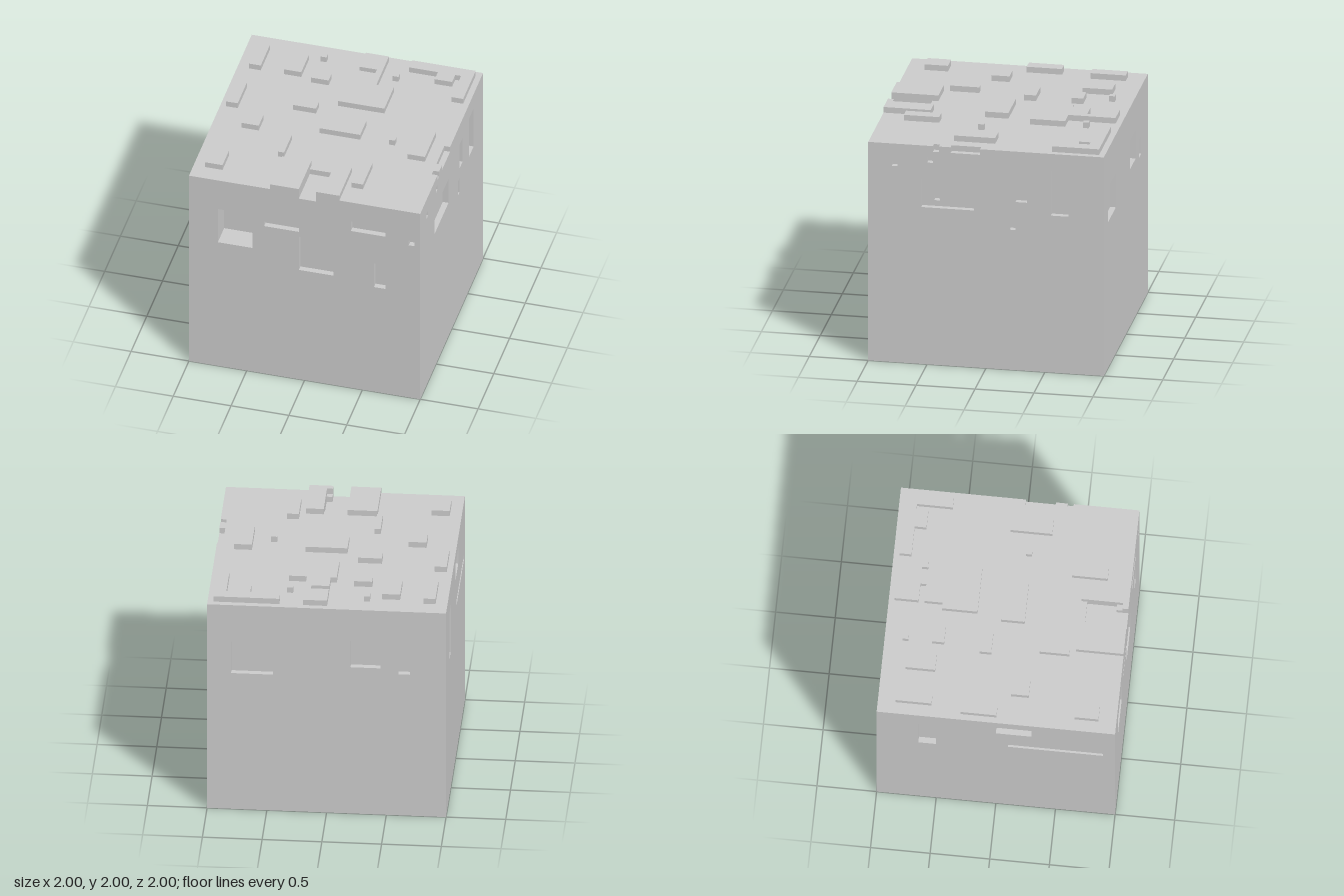
import * as THREE from 'three';

const material = new THREE.MeshStandardMaterial({ color: 0xcccccc, flatShading: true });
const STEP = 0.05;

function mesh(geometry, name) {
  const m = new THREE.Mesh(geometry, material);
  m.name = name;
  return m;
}

function outline(points) {
  return new THREE.Shape(points.map(([x, y]) => new THREE.Vector2(x, y)));
}

const corners = ([u0, v0, u1, v1]) => [[u0, v0], [u1, v0], [u1, v1], [u0, v1]];

// Horizontal slab from a plan outline of [x, z] points
function slab(points, y, name) {
  const g = new THREE.ExtrudeGeometry(outline(points.map(([x, z]) => [x, -z])), { depth: STEP, bevelEnabled: false });
  g.rotateX(-Math.PI / 2).translate(0, y, 0);
  return mesh(g, name);
}

// The four inward-facing sides of a recess behind plane z
function recessSides([u0, v0, u1, v1], z, depth) {
  const g = new THREE.BoxGeometry(u1 - u0, v1 - v0, depth);
  g.setIndex(Array.from(g.index.array).slice(0, 24).reverse());
  g.computeVertexNormals();
  return g.translate((u0 + u1) / 2, (v0 + v1) / 2, z - depth / 2);
}

// Flat panel with recesses; a recess floor is itself such a panel
function addPanel(group, rect, z, recesses, name) {
  const shape = outline(corners(rect));
  for (const { rect: r, depth = STEP, inner = [] } of recesses) {
    shape.holes.push(outline(corners(r)));
    group.add(mesh(recessSides(r, z, depth), 'recessSides'));
    addPanel(group, r, z - depth, inner, 'recessFloor');
  }
  group.add(mesh(new THREE.ShapeGeometry(shape).translate(0, 0, z), name));
}

export function createModel() {
  const model = new THREE.Group();
  model.name = 'block';

  // Recesses per side as [u0, v0, u1, v1], u running to the right as seen facing that side
  const sides = {
    frontSide: [0, [
      { rect: [-0.75, 1.3, -0.45, 1.65], depth: 0.2 },
      { rect: [-0.35, 1.55, -0.05, 1.6] },
      { rect: [-0.05, 1.15, 0.25, 1.5] },
      { rect: [0.4, 1.65, 0.7, 1.75] },
      { rect: [0.6, 1.1, 0.7, 1.35] },
      { rect: [0.9, 1.6, 0.95, 1.65] },
    ]],
    leftSide: [Math.PI / 2, [
      { rect: [-0.8, 1.75, -0.75, 1.8] },
      { rect: [-0.5, 1.8, -0.45, 1.85] },
      { rect: [-0.55, 1.4, -0.1, 1.65], inner: [{ rect: [-0.45, 1.45, -0.4, 1.5] }] },
      { rect: [0.25, 1.5, 0.35, 1.75] },
      { rect: [0.2, 1.25, 0.25, 1.4] },
      { rect: [0.55, 1.4, 0.7, 1.8] },
    ]],
    backSide: [Math.PI, [
      { rect: [-0.8, 1.3, -0.45, 1.6] },
      { rect: [0.2, 1.4, 0.45, 1.65] },
      { rect: [0.6, 1.35, 0.7, 1.5] },
    ]],
    rightSide: [-Math.PI / 2, [
      { rect: [-0.65, 1.3, -0.5, 1.75] },
      { rect: [0, 1.7, 0.3, 1.85] },
      { rect: [0.1, 1.4, 0.9, 1.45] },
    ]],
  };
  for (const [name, [angle, recesses]] of Object.entries(sides)) {
    const side = new THREE.Group();
    side.name = name;
    side.rotation.y = angle;
    addPanel(side, [-1, 0, 1, 1.9], 1, recesses, 'wall');
    model.add(side);
  }

  // Underside and the floor of the top notches
  model.add(mesh(new THREE.PlaneGeometry(2, 2).rotateX(Math.PI / 2), 'underside'));
  model.add(mesh(new THREE.PlaneGeometry(2, 2).rotateX(-Math.PI / 2).translate(0, 1.9, 0), 'notchFloor'));

  // Top layer, notched along its front and left edges
  model.add(slab([
    [-1, -1], [1, -1], [1, 0.05], [0.95, 0.05], [0.95, 0.3], [1, 0.3],
    [1, 0.4], [0.95, 0.4], [0.95, 0.45], [1, 0.45], [1, 1],
    [0.1, 1], [0.1, 0.9], [0.15, 0.9], [0.15, 0.65], [-0.05, 0.65], [-0.05, 1], [-1, 1],
  ], 1.9, 'topLayer'));

  // Rectangular raised plates as [x0, z0, x1, z1]
  const plates = [
    [-0.9, -0.85, -0.8, -0.55], [-0.6, -0.8, -0.45, -0.55], [-0.35, -0.85, -0.3, -0.8],
    [-0.35, -0.6, -0.2, -0.5], [-0.4, -0.2, -0.2, -0.1], [-0.95, -0.3, -0.85, 0],
    [-0.75, 0.1, -0.6, 0.25], [-0.35, 0.3, -0.3, 0.55], [-0.9, 0.65, -0.75, 0.85],
    [0.35, 0.5, 0.45, 0.8], [-0.1, -0.05, 0.25, 0.15], [0.5, 0.1, 0.55, 0.15],
    [0.7, -0.05, 0.85, 0.3], [0.3, -0.75, 0.35, -0.7], [-0.3, 0.6, -0.05, 1],
  ];
  plates.forEach((p) => model.add(slab(corners(p), 1.95, 'raisedPlate')));

  // Irregular raised plates
  model.add(slab([
    [0.15, 0.6], [0.3, 0.6], [0.3, 1], [0.1, 1], [0.1, 0.95], [0.15, 0.95],
  ], 1.95, 'frontEdgePlate'));
  model.add(slab([
    [0, -0.95], [0.2, -0.95], [0.2, -0.55], [0.35, -0.55], [0.35, -0.25], [-0.05, -0.25],
    [-0.05, -0.55], [0, -0.55], [0, -0.7], [0.15, -0.7], [0.15, -0.75], [0, -0.75],
  ], 1.95, 'notchedPlate'));
  model.add(slab([
    [0.4, -0.95], [0.95, -0.95], [0.95, -0.55], [0.85, -0.55], [0.85, -0.85],
    [0.8, -0.85], [0.8, -0.75], [0.65, -0.75], [0.65, -0.85], [0.4, -0.85],
  ], 1.95, 'cornerPlate'));

  return model;
}
